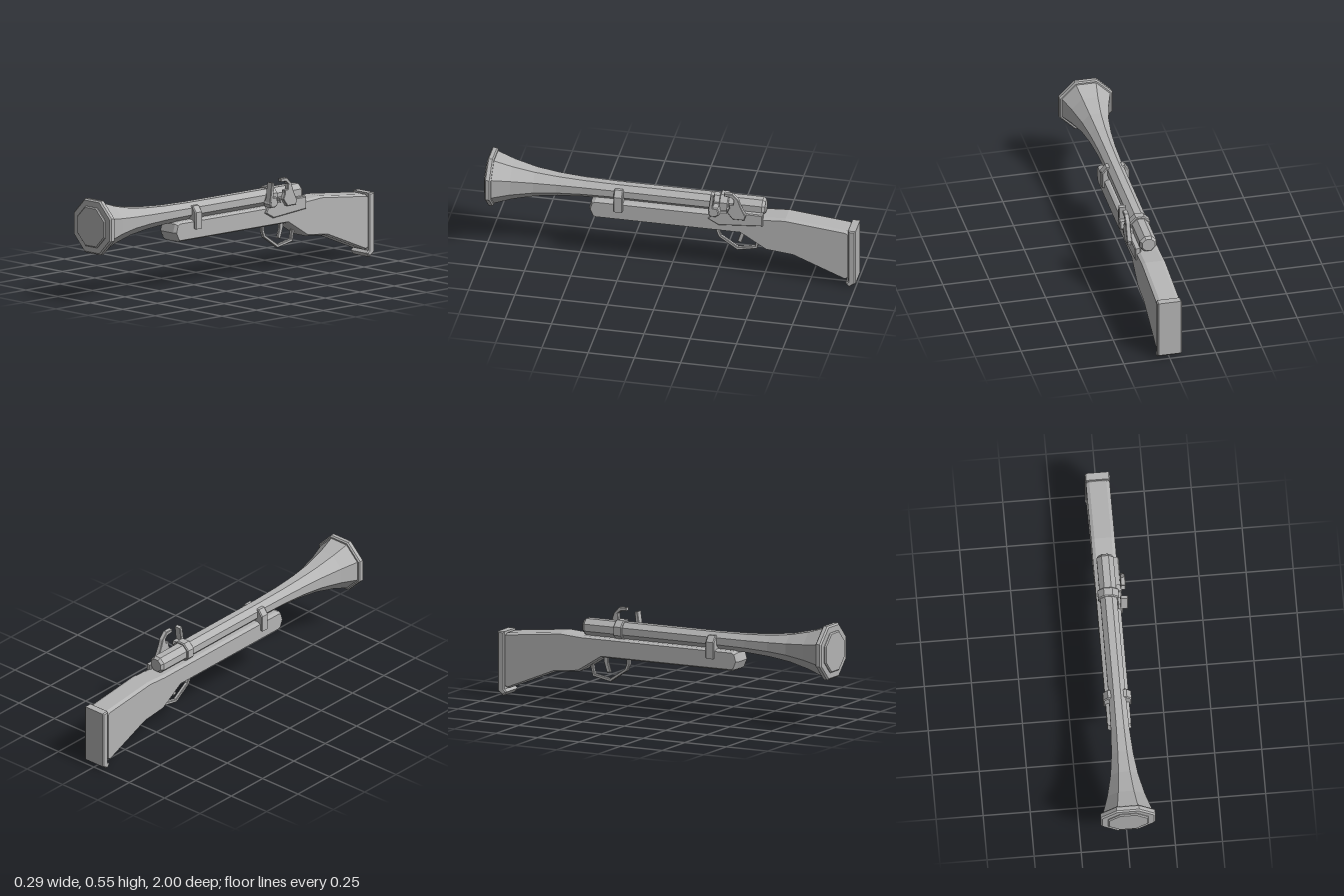
import * as THREE from 'three';

const AXIS_Y = 0.408; // height of the barrel axis

export function createModel() {
  const model = new THREE.Group();
  model.name = 'blunderbuss';
  const grey = new THREE.MeshStandardMaterial({ color: 0xb4b4b4 });
  grey.name = 'plain grey';

  const add = (name, geometry) => {
    const mesh = new THREE.Mesh(geometry, grey);
    mesh.name = name;
    model.add(mesh);
    return mesh;
  };

  // Side profile given as [z, y], extruded across x from x0 to x1 with a chamfer
  const slab = (name, points, x0, x1, size = 0.005, thick = size) => {
    const shape = new THREE.Shape(points.map(([z, y]) => new THREE.Vector2(z, y)));
    const g = new THREE.ExtrudeGeometry(shape, {
      depth: x1 - x0 - 2 * thick, bevelEnabled: true, bevelSegments: 1,
      bevelSize: size, bevelOffset: -size, bevelThickness: thick,
    });
    g.translate(0, 0, thick - x1);
    g.rotateY(-Math.PI / 2);
    return add(name, g);
  };

  // Eight-sided faceted turning along z; profile given as [apothem, z]
  const turned = (name, profile) => {
    const k = 1 / Math.cos(Math.PI / 8);
    const pts = profile.map(([r, z]) => new THREE.Vector2(r * k, z));
    const g = new THREE.LatheGeometry(pts, 8, Math.PI / 8).toNonIndexed();
    g.rotateX(Math.PI / 2);
    g.translate(0, AXIS_Y, 0);
    g.computeVertexNormals();
    return add(name, g);
  };

  // Barrel with flared horn
  turned('barrel', [[0, -0.505], [0.034, -0.505], [0.045, -0.49], [0.045, 0.3], [0.049, 0.48],
    [0.058, 0.62], [0.073, 0.74], [0.1, 0.86], [0.132, 0.96], [0, 0.96]]);
  turned('muzzleFlange', [[0, 0.955], [0.138, 0.955], [0.145, 0.962], [0.145, 0.982],
    [0.137, 0.99], [0, 0.99]]);
  turned('muzzlePlug', [[0, 0.985], [0.107, 0.985], [0.107, 0.994], [0.101, 1], [0, 1]]);
  turned('breechRing', [[0.04, -0.31], [0.05, -0.31], [0.055, -0.305], [0.055, -0.265],
    [0.05, -0.26], [0.04, -0.26]]);

  // Stock, from fore-end to butt
  slab('stock', [[0.41, 0.365], [0.43, 0.355], [0.443, 0.31], [0.425, 0.268], [0.41, 0.258],
    [-0.375, 0.258], [-0.515, 0.17], [-0.66, 0.155], [-0.94, 0.04], [-0.965, 0.05],
    [-0.965, 0.325], [-0.95, 0.338], [-0.62, 0.373], [-0.5, 0.365]], -0.063, 0.063, 0.009, 0.018);
  slab('buttPlate', [[-0.96, 0.345], [-0.96, 0.035], [-0.945, 0.022], [-0.965, 0], [-1, 0.025],
    [-1, 0.345]], -0.066, 0.066, 0.006);

  // Strap holding the barrel to the fore-end
  const strap = new THREE.Shape([[-0.075, 0.315], [0.075, 0.315], [0.075, 0.405], [0.05, 0.438],
    [-0.05, 0.438], [-0.075, 0.405]].map(([x, y]) => new THREE.Vector2(x, y)));
  const strapGeo = new THREE.ExtrudeGeometry(strap, {
    depth: 0.04, bevelSegments: 1, bevelSize: 0.005, bevelOffset: -0.005, bevelThickness: 0.005,
  });
  strapGeo.translate(0, 0, 0.262);
  add('barrelStrap', strapGeo);

  // Trigger and guard
  slab('triggerGuard', [[-0.236, 0.27], [-0.236, 0.225], [-0.249, 0.191], [-0.35, 0.122], [-0.458, 0.143],
    [-0.475, 0.22], [-0.457, 0.22], [-0.445, 0.158], [-0.354, 0.14], [-0.264, 0.2],
    [-0.254, 0.227], [-0.254, 0.27]], -0.01, 0.01, 0.003);
  slab('trigger', [[-0.365, 0.27], [-0.366, 0.225], [-0.35, 0.175], [-0.372, 0.168], [-0.392, 0.23],
    [-0.392, 0.265]], -0.008, 0.008, 0.003);

  // Lock on the left side
  slab('lockPlate', [[-0.235, 0.382], [-0.203, 0.335], [-0.262, 0.302], [-0.5, 0.322], [-0.5, 0.39],
    [-0.33, 0.39]], 0.04, 0.073);
  slab('pan', [[-0.21, 0.385], [-0.225, 0.42], [-0.262, 0.42], [-0.27, 0.38], [-0.25, 0.365],
    [-0.22, 0.365]], 0.045, 0.1);
  slab('frizzen', [[-0.21, 0.395], [-0.225, 0.5], [-0.243, 0.497], [-0.232, 0.395]], 0.06, 0.1, 0.003);
  slab('panSpring', [[-0.305, 0.38], [-0.305, 0.405], [-0.34, 0.405], [-0.34, 0.38]], 0.03, 0.075, 0.003);
  slab('hammer', [[-0.342, 0.36], [-0.312, 0.4], [-0.325, 0.43], [-0.322, 0.447], [-0.345, 0.45],
    [-0.348, 0.478], [-0.332, 0.492], [-0.296, 0.496], [-0.296, 0.513], [-0.34, 0.513],
    [-0.372, 0.48], [-0.385, 0.44], [-0.412, 0.385], [-0.405, 0.36]], 0.068, 0.094, 0.003);

  return model;
}
